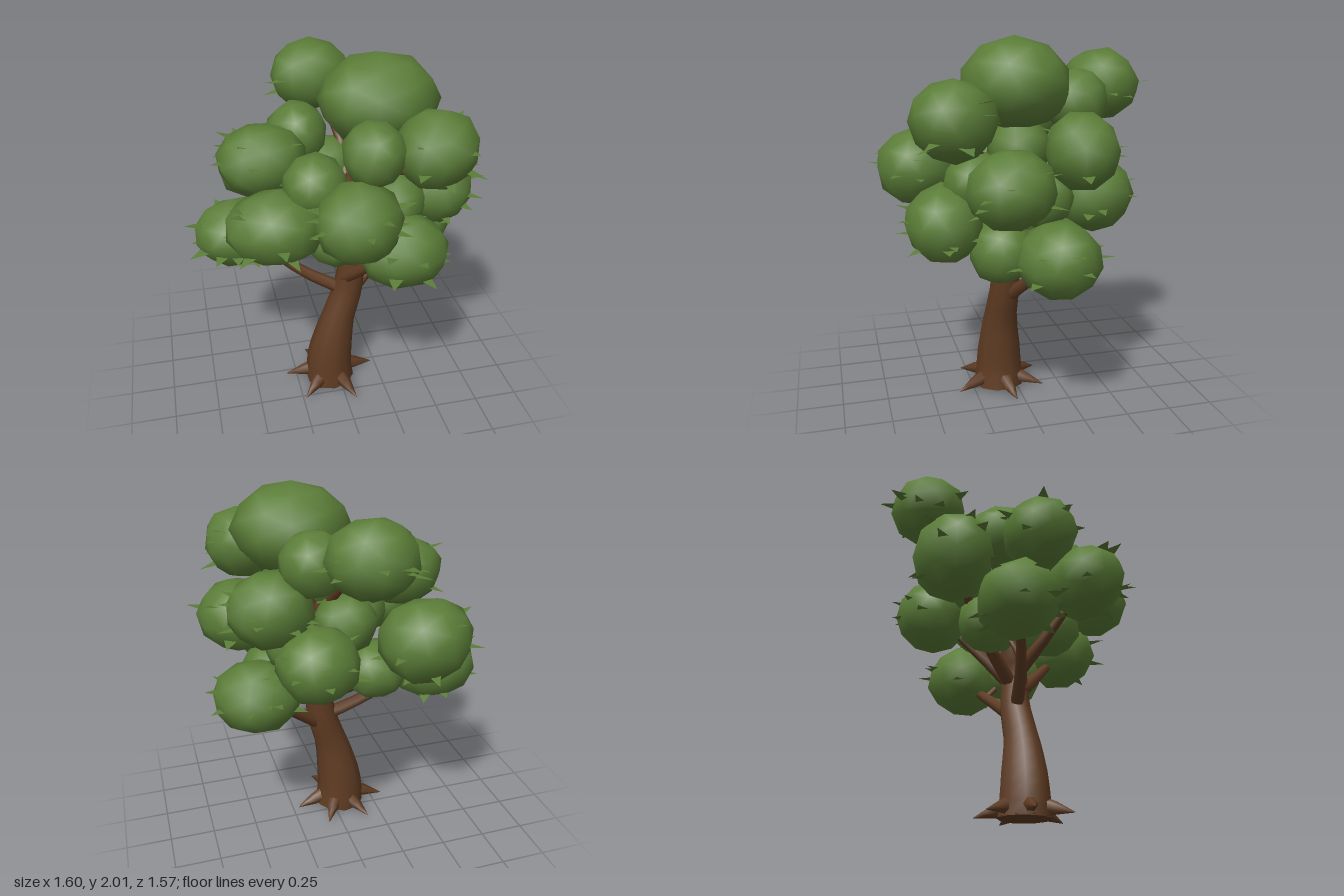
import * as THREE from 'three';
import { mergeVertices, mergeGeometries } from 'three/addons/utils/BufferGeometryUtils.js';

const bark = new THREE.MeshStandardMaterial({ color: 0x5f3c23 });
bark.name = 'bark brown';
const leafGreen = new THREE.MeshStandardMaterial({ color: 0x5b7d38, side: THREE.DoubleSide });
leafGreen.name = 'leaf green';

// seeded random numbers, 0 to 1
let seed = 7;
const rand = () => {
  seed = (seed * 16807) % 2147483647;
  return seed / 2147483647;
};
const V = (a) => new THREE.Vector3(...a);

// tube along a curve whose radius follows a list of values
function taperedTube(points, radii, sides, rings) {
  const path = new THREE.CatmullRomCurve3(points.map(V));
  const geo = new THREE.TubeGeometry(path, rings, 1, sides, false);
  const pos = geo.attributes.position;
  const p = new THREE.Vector3();
  for (let i = 0; i <= rings; i++) {
    const c = path.getPointAt(i / rings);
    const t = (i / rings) * (radii.length - 1);
    const k = Math.min(Math.floor(t), radii.length - 2);
    const r = THREE.MathUtils.lerp(radii[k], radii[k + 1], t - k);
    for (let j = 0; j <= sides; j++) {
      const n = i * (sides + 1) + j;
      p.fromBufferAttribute(pos, n).sub(c).multiplyScalar(r).add(c);
      pos.setXYZ(n, p.x, p.y, p.z);
    }
  }
  geo.deleteAttribute('uv');
  geo.deleteAttribute('normal');
  const merged = mergeVertices(geo, 1e-4);
  merged.computeVertexNormals();
  return merged;
}

// slightly uneven low-poly ball with smooth normals
function clumpGeometry(rx, ry, rz) {
  let geo = new THREE.IcosahedronGeometry(1, 1);
  geo.deleteAttribute('uv');
  geo.deleteAttribute('normal');
  geo = mergeVertices(geo, 1e-3);
  geo.rotateX(rand() * 6).rotateY(rand() * 6);
  const pos = geo.attributes.position;
  for (let i = 0; i < pos.count; i++) {
    const s = 1.02 + (rand() - 0.5) * 0.08;
    pos.setXYZ(i, pos.getX(i) * rx * s, pos.getY(i) * ry * s, pos.getZ(i) * rz * s);
  }
  geo.computeVertexNormals();
  return geo;
}

// single pointed leaf lying nearly flat and pointing outward
function leafGeometry(dir, base, length, halfWidth) {
  const side = new THREE.Vector3(-dir.z, 0, dir.x).normalize().multiplyScalar(halfWidth);
  const root = base.clone().addScaledVector(dir, -0.02);
  const tip = base.clone().addScaledVector(dir, length);
  const geo = new THREE.BufferGeometry().setFromPoints([root.clone().add(side), tip, root.sub(side)]);
  geo.computeVertexNormals();
  return geo;
}

export function createModel() {
  const tree = new THREE.Group();
  tree.name = 'tree';
  const add = (geo, mat, name) => {
    const mesh = new THREE.Mesh(geo, mat);
    mesh.name = name;
    tree.add(mesh);
    return mesh;
  };

  // leaning trunk, flared at the foot
  add(taperedTube(
    [[-0.05, 0, 0.09], [-0.055, 0.12, 0.09], [-0.01, 0.4, 0.092], [0.058, 0.63, 0.08], [0.075, 0.82, 0.08], [0.03, 1.0, 0.05], [0.08, 1.35, 0.05]],
    [0.145, 0.126, 0.095, 0.083, 0.073, 0.055, 0.03], 10, 18), bark, 'trunk');
  const foot = add(new THREE.CircleGeometry(0.145, 10).rotateX(Math.PI / 2), bark, 'trunkBase');
  foot.position.set(-0.05, 0.002, 0.09);

  // pointed roots around the foot, by angle in degrees
  for (const deg of [-10, 68, 135, 190, 245, 298]) {
    const a = THREE.MathUtils.degToRad(deg);
    const at = (r, y) => [-0.045 + Math.cos(a) * r, y, 0.095 + Math.sin(a) * r];
    add(taperedTube([at(0.06, 0.07), at(0.15, 0.045), at(0.27, 0.012)], [0.05, 0.034, 0.002], 6, 4), bark, 'root');
  }

  // branches: path points, start radius, end radius
  const branches = [
    [[[0.04, 0.62, 0.08], [-0.16, 0.72, 0.03], [-0.36, 0.86, -0.04], [-0.46, 0.95, -0.1]], 0.04, 0.022],
    [[[-0.25, 0.77, 0], [-0.25, 0.86, -0.04], [-0.2, 0.97, -0.1]], 0.018, 0.012],
    [[[0.06, 0.57, 0.07], [0.18, 0.67, 0.02], [0.3, 0.77, -0.04], [0.42, 0.87, -0.08]], 0.042, 0.022],
    [[[0.27, 0.74, -0.03], [0.29, 0.82, 0.04], [0.32, 0.92, 0.12]], 0.018, 0.012],
    [[[0.04, 0.72, 0.1], [0.1, 0.82, 0.2], [0.2, 0.98, 0.35]], 0.045, 0.022],
    [[[0.06, 0.82, 0.08], [-0.12, 0.94, 0.16], [-0.3, 1.14, 0.28]], 0.045, 0.02],
    [[[0.06, 0.76, 0.06], [-0.1, 0.93, -0.14], [-0.3, 1.18, -0.36]], 0.042, 0.02],
    [[[0.07, 0.78, 0.05], [0.12, 0.94, -0.1], [0.2, 1.15, -0.3]], 0.045, 0.02],
    [[[0.05, 0.95, 0.06], [0.25, 1.12, 0.1], [0.46, 1.27, 0.15]], 0.04, 0.02],
    [[[0.06, 1.2, 0.04], [0.07, 1.45, -0.18], [-0.01, 1.68, -0.43]], 0.035, 0.018],
    [[[0.06, 1.2, 0.05], [0.16, 1.45, 0.06], [0.2, 1.7, 0.07]], 0.035, 0.018],
    [[[0.06, 1.15, 0.06], [0.2, 1.35, 0.2], [0.36, 1.54, 0.36]], 0.035, 0.018],
  ];
  for (const [pts, r0, r1] of branches) add(taperedTube(pts, [r0, r1], 7, 6), bark, 'branch');

  // leaf clumps: centre x, y, z and radii x, y, z; the outer ones carry loose leaves
  const crown = [0.208, 1.765, 0.065, 0.312, 0.23, 0.277];
  const outer = [
    [-0.035, 1.735, -0.485, 0.23, 0.195, 0.21],
    [-0.36, 1.255, -0.405, 0.255, 0.22, 0.21],
    [-0.4, 1.48, 0.06, 0.23, 0.19, 0.2],
    [-0.38, 1.235, 0.335, 0.25, 0.195, 0.205],
    [-0.53, 0.97, -0.115, 0.258, 0.188, 0.21],
    [-0.01, 1.33, 0.54, 0.215, 0.2, 0.21],
    [0.255, 1.08, 0.445, 0.235, 0.2, 0.2],
    [0.41, 1.615, 0.41, 0.21, 0.2, 0.21],
    [0.465, 0.91, -0.1, 0.24, 0.195, 0.22],
    [0.505, 1.285, 0.155, 0.21, 0.198, 0.22],
    [0.4, 1.445, -0.235, 0.22, 0.197, 0.187],
    [0.2, 1.18, -0.375, 0.215, 0.2, 0.205],
  ];
  const inner = [
    [0.19, 1.67, -0.27, 0.17, 0.17, 0.168],
    [0.1, 1.61, 0.4, 0.16, 0.165, 0.165],
    [-0.17, 1.42, 0.29, 0.165, 0.165, 0.165],
    [-0.19, 1.55, -0.1, 0.16, 0.165, 0.175],
    [0.25, 1.45, 0.05, 0.16, 0.16, 0.16],
    [0.25, 1.28, 0.28, 0.165, 0.16, 0.165],
    [-0.05, 1.1, 0.25, 0.185, 0.165, 0.17],
    [-0.18, 1.0, -0.15, 0.172, 0.165, 0.172],
    [0.33, 0.93, 0.16, 0.17, 0.17, 0.172],
    [0.25, 1.18, -0.08, 0.16, 0.16, 0.16],
    [0, 1.31, -0.19, 0.165, 0.16, 0.165],
    [-0.15, 1.28, 0.08, 0.165, 0.165, 0.165],
  ];
  for (const [x, y, z, rx, ry, rz] of [crown, ...outer, ...inner]) {
    add(clumpGeometry(rx, ry, rz), leafGreen, 'leafClump').position.set(x, y, z);
  }

  // loose leaves scattered over each outer clump, mostly on the outward side
  const leaves = [];
  for (const [x, y, z, rx, ry, rz] of outer) {
    const away = Math.atan2(z, x);
    for (let i = 0; i < 10; i++) {
      const a = away + (i / 9 - 0.5) * 4.6 + (rand() - 0.5) * 0.6;
      const h = (rand() - 0.5) * 1.4;
      const c = Math.sqrt(1 - h * h);
      const base = new THREE.Vector3(x + Math.cos(a) * c * rx, y + h * ry, z + Math.sin(a) * c * rz);
      const dir = new THREE.Vector3(Math.cos(a), h * 0.5, Math.sin(a)).normalize();
      leaves.push(leafGeometry(dir, base, 0.04 + rand() * 0.045, 0.028 + rand() * 0.014));
    }
  }
  add(mergeGeometries(leaves), leafGreen, 'looseLeaves');

  return tree;
}
